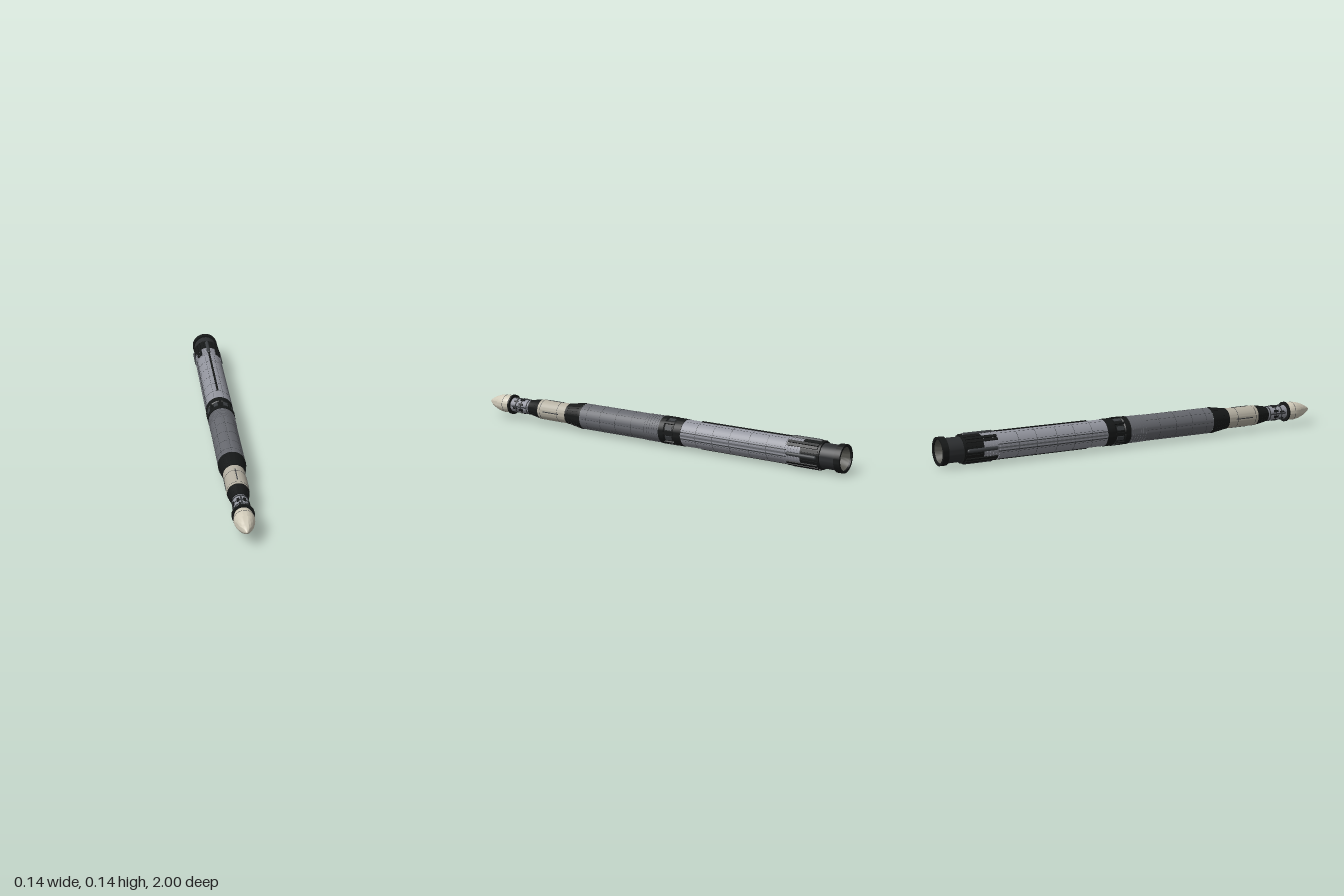
import * as THREE from 'three';
import { toCreasedNormals } from 'three/addons/utils/BufferGeometryUtils.js';

const paint = (color, extra = {}) => new THREE.MeshStandardMaterial({ color, ...extra });
const BLACK = paint(0x161818), DARK = paint(0x3a3d40), GREY = paint(0x66686e),
  LIGHT = paint(0x92949d), CREAM = paint(0xb5b0a2), NOSE = paint(0xcfc9b8),
  SHELL = paint(0x2c2e30, { side: THREE.DoubleSide }), BELL = paint(0x55554f, { side: THREE.DoubleSide });

export function createModel() {
  const rocket = new THREE.Group();
  rocket.name = 'rocket';
  rocket.position.y = 0.0715;

  const add = (name, geometry, material, parent = rocket) => {
    const mesh = new THREE.Mesh(geometry, material);
    mesh.name = name;
    parent.add(mesh);
    return mesh;
  };
  // surface of revolution about z, from [radius, z] pairs running rear to front
  const turn = (name, material, profile) => {
    const g = new THREE.LatheGeometry(profile.map(([r, z]) => new THREE.Vector2(r, z)), 48);
    g.rotateX(Math.PI / 2);
    return add(name, toCreasedNormals(g, 0.5), material);
  };
  // short raised band with closed ends
  const band = (name, material, r, z, width, depth = 0.004) => turn(name, material, [
    [r - depth, z - width / 2], [r, z - width / 2], [r, z + width / 2], [r - depth, z + width / 2]]);
  // boxes standing on the skin at the given angles (0 = top); r is the outer height
  const around = (name, material, angles, r, w, h, z0, z1) => angles.forEach(deg => {
    const pivot = new THREE.Group();
    pivot.name = name + 'Pivot';
    pivot.rotation.z = deg * Math.PI / 180;
    const g = new THREE.BoxGeometry(w, h, z1 - z0).translate(0, r - h / 2, (z0 + z1) / 2);
    add(name, g, material, pivot);
    rocket.add(pivot);
  });
  const every = (n, start = 0) => Array.from({ length: n }, (_, i) => start + i * 360 / n);

  // nose cone
  const nose = [[0, 0.853], [0.038, 0.853], [0.041, 0.865], [0.0445, 0.89]];
  for (let i = 1; i <= 14; i++) {
    const t = i / 14;
    nose.push([0.0445 * Math.pow(1 - Math.pow(t, 1.75), 0.85), 0.89 + 0.11 * t]);
  }
  turn('noseCone', NOSE, nose);
  band('noseSeam', DARK, 0.0449, 0.89, 0.002);
  band('noseRing', BLACK, 0.0485, 0.848, 0.009, 0.018);

  // equipment neck
  turn('neck', LIGHT, [[0.034, 0.725], [0.034, 0.85]]);
  [0.742, 0.778, 0.81].forEach(z => band('neckBand', DARK, 0.0365, z, 0.005));
  around('neckBox', BLACK, every(8, 22.5), 0.038, 0.011, 0.007, 0.765, 0.79);
  around('neckStrip', DARK, every(4), 0.037, 0.007, 0.006, 0.74, 0.835);
  around('neckPanel', BLACK, every(6, 15), 0.036, 0.008, 0.005, 0.8, 0.825);

  // third stage with its two tapered adapters
  turn('upperAdapter', BLACK, [[0.048, 0.66], [0.046, 0.673], [0.037, 0.722], [0.037, 0.73], [0.033, 0.73]]);
  turn('thirdStage', CREAM, [[0.0485, 0.487], [0.0485, 0.66], [0.046, 0.66]]);
  [0.54, 0.645].forEach(z => band('thirdStageSeam', DARK, 0.0488, z, 0.002));
  around('thirdStageRail', DARK, every(4, 90), 0.0505, 0.004, 0.005, 0.53, 0.625);
  turn('lowerAdapter', BLACK, [[0.062, 0.39], [0.062, 0.405], [0.0505, 0.478], [0.0505, 0.49], [0.047, 0.49]]);

  // ribs along both adapters
  const ribs = (name, count, rRear, zRear, rFront, zFront) => every(count).forEach(deg => {
    const length = Math.hypot(zFront - zRear, rRear - rFront);
    const pivot = new THREE.Group();
    pivot.name = name + 'Pivot';
    pivot.rotation.z = deg * Math.PI / 180;
    const rib = add(name, new THREE.BoxGeometry(0.002, 0.002, length), BLACK, pivot);
    rib.position.set(0, (rRear + rFront) / 2, (zRear + zFront) / 2);
    rib.rotation.x = Math.atan2(rRear - rFront, zFront - zRear);
    rocket.add(pivot);
  });
  ribs('lowerAdapterRib', 24, 0.062, 0.405, 0.0505, 0.478);
  ribs('upperAdapterRib', 18, 0.046, 0.673, 0.037, 0.722);

  // second stage
  turn('secondStage', GREY, [[0.0615, -0.07], [0.0615, 0.39]]);
  for (let i = 0; i < 6; i++) band('secondStageRing', GREY, 0.063, -0.055 + i * 0.014, 0.005);
  [0.09, 0.18, 0.27, 0.35].forEach(z => band('secondStageSeam', DARK, 0.0618, z, 0.0015));
  around('secondStageLine', DARK, every(8), 0.0619, 0.001, 0.002, 0.02, 0.385);

  // interstage: recessed drum between two collars, with panels around it
  turn('interstage', BLACK, [[0.06, -0.19], [0.0635, -0.19], [0.0635, -0.15], [0.0595, -0.145],
    [0.0595, -0.1], [0.0645, -0.095], [0.0645, -0.068], [0.06, -0.068]]);
  around('interstagePanel', DARK, every(8, 22.5), 0.0625, 0.02, 0.006, -0.14, -0.105);
  around('interstageBracket', BLACK, every(8), 0.066, 0.009, 0.008, -0.148, -0.092);

  // first stage
  turn('firstStage', LIGHT, [[0.0615, -0.81], [0.0615, -0.188]]);
  [-0.27, -0.36, -0.45, -0.55, -0.64].forEach(z => band('firstStageSeam', DARK, 0.0618, z, 0.0015));
  for (let i = 0; i < 6; i++) band('firstStageRing', LIGHT, 0.0635, -0.805 + i * 0.015, 0.006);
  around('firstStageLine', DARK, every(8, 22.5), 0.0619, 0.001, 0.002, -0.72, -0.2);

  // raceways running along the tank
  around('topRaceway', BLACK, [0, 180], 0.0655, 0.009, 0.009, -0.89, -0.27);
  around('sideRaceway', GREY, [90, 270], 0.0655, 0.008, 0.008, -0.74, -0.19);
  around('slimRaceway', DARK, [76, 104, 256, 284], 0.0635, 0.004, 0.005, -0.74, -0.19);

  // tail section with fairings
  turn('tailSection', BLACK, [[0.054, -0.9], [0.063, -0.9], [0.063, -0.808], [0.06, -0.808]]);
  for (const deg of every(4)) {
    const pivot = new THREE.Group();
    pivot.name = 'fairingPivot';
    pivot.rotation.z = deg * Math.PI / 180;
    const g = new THREE.CapsuleGeometry(0.009, 0.13, 6, 12).rotateX(Math.PI / 2);
    add('fairing', g, DARK, pivot).position.set(0, 0.0615, -0.815);
    rocket.add(pivot);
  }
  around('tailPod', BLACK, [38, 52, 128, 142, 218, 232, 308, 322], 0.068, 0.012, 0.011, -0.89, -0.74);
  around('tailPanel', BLACK, every(8, 22.5), 0.0655, 0.014, 0.006, -0.895, -0.815);

  // engine skirt, open at the rear, with the nozzle inside
  turn('engineSkirt', SHELL, [[0.0555, -0.975], [0.0555, -0.895]]);
  turn('tailRing', BLACK, [[0.053, -0.972], [0.053, -1], [0.0635, -1], [0.0635, -0.972], [0.053, -0.972]]);
  turn('nozzleBell', BELL, [[0.053, -0.992], [0.047, -0.975], [0.037, -0.95], [0.026, -0.925], [0.02, -0.91], [0, -0.91]]);
  turn('nozzleThroat', BELL, [[0.028, -0.955], [0.025, -0.94], [0.018, -0.915]]);
  return rocket;
}
